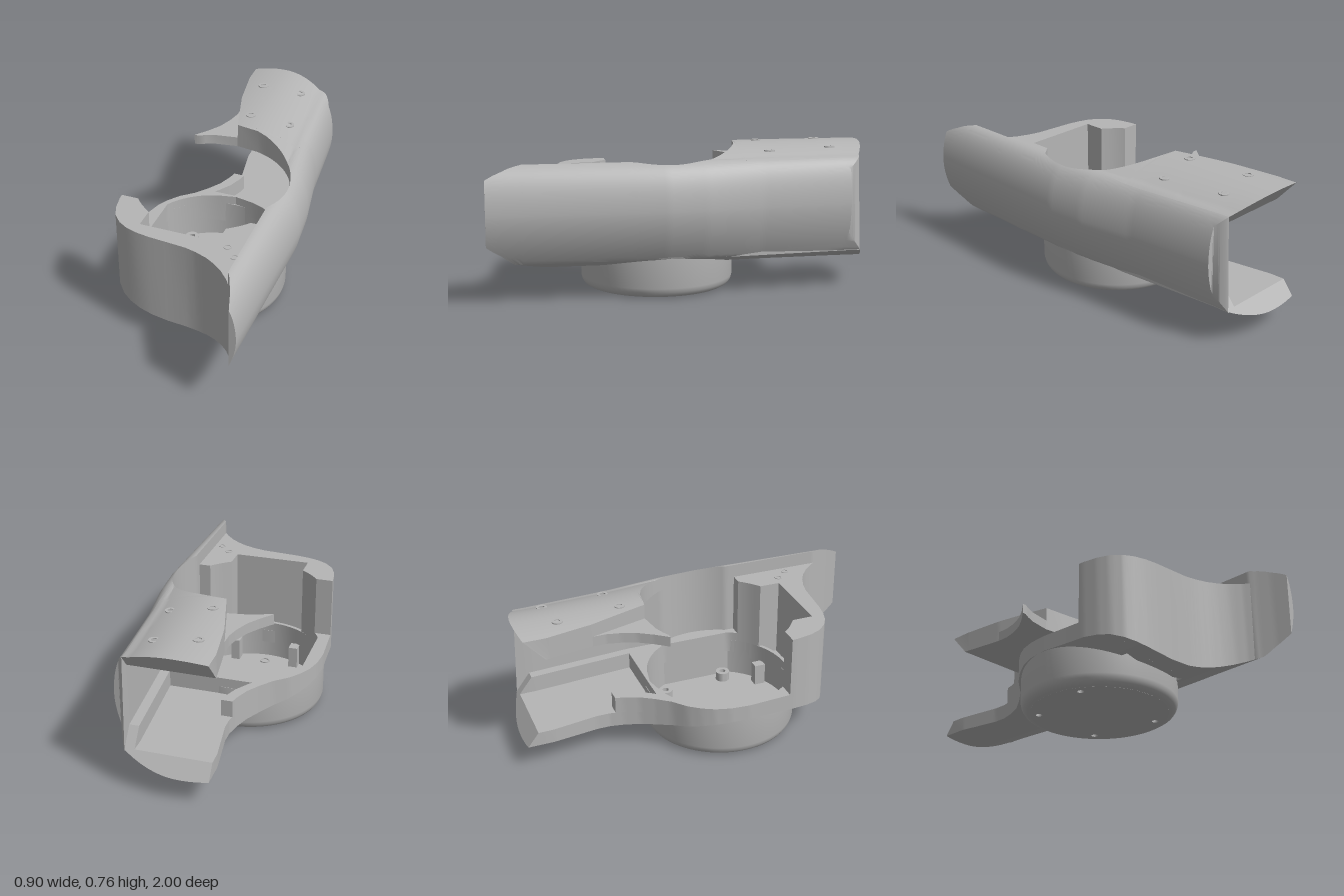
import * as THREE from 'three';
import { toCreasedNormals } from 'three/addons/utils/BufferGeometryUtils.js';

const grey = new THREE.MeshStandardMaterial({ color: 0xb5b5b5 });
grey.name = 'light grey';

// Cup centre and radii
const CX = -0.045, CZ = 0.092, POCKET = 0.385, OPENING = 0.41;

// Piecewise linear lookup
function lerpTable(t, v) {
  if (v <= t[0][0]) return t[0][1];
  for (let i = 1; i < t.length; i++) {
    const [a, p] = t[i - 1], [b, q] = t[i];
    if (v <= b) return p + (q - p) * (v - a) / (b - a);
  }
  return t[t.length - 1][1];
}

// Plan outline: left edge and widest right edge along z
const LEFT = [[-0.87, -0.17], [-0.62, -0.13], [-0.55, -0.13], [-0.48, -0.145], [-0.4, -0.175],
  [-0.33, -0.22], [-0.26, -0.275], [-0.2, -0.345], [-0.14, -0.39], [-0.08, -0.422], [0, -0.444],
  [0.1, -0.452], [0.25, -0.442], [0.36, -0.436], [0.44, -0.42], [0.5, -0.395], [0.55, -0.35],
  [0.58, -0.3], [0.6, -0.24], [0.612, -0.17], [0.62, -0.08], [0.63, 0.03], [0.645, 0.09],
  [0.67, 0.155], [0.7, 0.205], [0.74, 0.255], [0.79, 0.3], [0.84, 0.333], [0.92, 0.367], [1, 0.39]];
const RIGHT = [[-0.87, 0.34], [-0.4, 0.38], [-0.1, 0.43], [0.1, 0.447], [0.5, 0.437], [1, 0.425]];
const left = z => lerpTable(LEFT, z);
const right = z => lerpTable(RIGHT, z);

// Half width of a circle around the cup axis at z
const half = (r, z) => Math.sqrt(Math.max(0, r * r - (z - CZ) ** 2));
const pocketHalf = z => Math.min(0.333, half(POCKET, z));
const notchHalf = z => (z > 0.41 ? Math.max(0.205, pocketHalf(z)) : pocketHalf(z));

// Inner face of the side wall
const inner = z => Math.max(lerpTable([[-0.87, 0.27], [-0.3, 0.32]], z),
  CX + half(OPENING, z), z > 0.7 ? left(z) : -1);

// Barrel cross-section: lower and upper height at x
const scaled = (x, z) => (x > 0 ? Math.min(0.45, x * 0.45 / right(z)) : x);
function low(x, z) {
  const X = scaled(x, z);
  if (X < 0.36) return 0.125 + 0.52 * (X + 0.03) ** 2;
  return 0.204 + 0.256 * (1 - Math.max(0, 1 - (X - 0.36) / 0.09) ** 0.55);
}
function high(x, z) {
  const X = scaled(x, z);
  if (X < 0.32) return 0.76 - 0.6 * X * X;
  const t = Math.min(1, (X - 0.32) / 0.13);
  return 0.7 - 0.24 * (1 - Math.sqrt(1 - t ** 2.2));
}

// Rear end is cut back in the middle of its height
function rearEnd(y) {
  if (y < 0.3) return -0.87 - 0.13 * (0.3 - y) / 0.17;
  if (y > 0.64) return -0.87 - 0.125 * (y - 0.64) / 0.12;
  return -0.87;
}

// Closed solid between z0 and z1, bounded by two plan edges and two heights
function slab(z0, z1, x0, x1, y0, y1, cols = 16, ease = u => u) {
  const zs = [z0, z1];
  for (let z = Math.ceil(z0 / 0.02) * 0.02; z < z1; z += 0.02) zs.push(z);
  for (const [z] of LEFT) if (z > z0 && z < z1) zs.push(z);
  zs.sort((a, b) => a - b);
  const rows = zs.filter((z, i) => !i || z - zs[i - 1] > 1e-4);
  const pos = [], idx = [], n = 2 * (cols + 1);
  for (const z of rows) {
    const a = x0(z), b = Math.max(a, x1(z));
    for (let k = 0; k < n; k++) {
      const upper = k > cols;
      const x = a + (b - a) * ease((upper ? n - 1 - k : k) / cols);
      const y = upper ? Math.max(y1(x, z), y0(x, z)) : y0(x, z);
      pos.push(x, y, z === -0.87 ? rearEnd(y) : z);
    }
  }
  const last = (rows.length - 1) * n;
  for (let i = 0; i < last; i += n) {
    for (let k = 0; k < n; k++) {
      const a = i + k, b = i + (k + 1) % n;
      idx.push(a, b, b + n, a, b + n, a + n);
    }
  }
  for (let k = 0; k < cols; k++) {
    const p = k, q = k + 1, r = n - 2 - k, s = n - 1 - k;
    idx.push(last + p, last + q, last + r, last + p, last + r, last + s);
    idx.push(p, r, q, p, s, r);
  }
  const g = new THREE.BufferGeometry();
  g.setAttribute('position', new THREE.Float32BufferAttribute(pos, 3));
  g.setIndex(idx);
  return toCreasedNormals(g, 0.6);
}

export function createModel() {
  const model = new THREE.Group();
  model.name = 'armHousing';
  const add = (name, geometry, x = 0, y = 0, z = 0) => {
    const m = new THREE.Mesh(geometry, grey);
    m.name = name;
    m.position.set(x, y, z);
    model.add(m);
    return m;
  };
  const flat = v => () => v;
  const pocketL = z => CX - pocketHalf(z), pocketR = z => CX + pocketHalf(z);

  // Curved side wall along the whole length
  add('sideWall', slab(-0.87, 1, inner, right, low, high, 24, u => Math.sin(u * Math.PI / 2)));

  // Rear floor with its edge rim and inner ledge
  add('rearFloor', slab(-0.87, -0.3, left, inner, low, flat(0.21)));
  add('rearRim', slab(-0.52, -0.3, left, z => left(z) + 0.06, flat(0.2), flat(0.3), 4));
  add('rearLedge', slab(-0.87, -0.2, z => inner(z) - 0.05, inner, flat(0.2), flat(0.3), 2));

  // Low rim on either side of the pocket
  add('rimRight', slab(-0.31, 0.33, left, pocketL, low, flat(0.3)));
  add('rimLeft', slab(-0.31, 0.33, pocketR, inner, low, flat(0.3)));

  // Tall front wall, wrapped around the pocket and its notch
  add('frontWallRight', slab(0.33, 0.53, left, z => CX - notchHalf(z), low, flat(0.627)));
  add('frontWallLeft', slab(0.33, 0.53, z => CX + notchHalf(z), inner, low, flat(0.627)));
  add('frontWall', slab(0.53, 0.82, left, inner, low, flat(0.627), 24));
  add('notchFloor', slab(0.475, 0.53, flat(CX - 0.205), flat(CX + 0.205), low, flat(0.2)));

  // Rear roof and the thin fin beside the opening
  const diagonal = z => (z < -0.62 ? left(z) : -0.13 + 0.085 * (z + 0.62) / 0.302);
  add('roof', slab(-0.87, -0.318, diagonal, inner, flat(0.625), high, 24));
  add('roofEdge', slab(-0.318, -0.08, z => CX + half(OPENING, z), inner, flat(0.625), high));
  add('fin', slab(-0.62, -0.318, left, diagonal, flat(0.625), flat(0.68), 6));
  add('finTip', slab(-0.318, -0.262, left, z => CX - half(OPENING, z), flat(0.625), flat(0.68), 6));

  // Cup wall with a rounded lower edge
  const profile = [[0.352, 0], [0.371, 0.004], [0.389, 0.015], [0.4, 0.032], [0.405, 0.053],
    [0.405, 0.25], [POCKET, 0.25], [POCKET, 0.04], [0.352, 0.04]];
  const cup = new THREE.LatheGeometry(profile.map(p => new THREE.Vector2(...p)), 72);
  add('cupWall', toCreasedNormals(cup, 0.6), CX, 0, CZ);

  // Cup floor with four through holes
  const screws = [[-0.25, -0.14], [0.16, -0.14], [-0.32, 0.23], [0.23, 0.23]];
  const disc = new THREE.Shape().absarc(0, 0, 0.354, 0, Math.PI * 2);
  for (const [x, z] of screws) {
    disc.holes.push(new THREE.Path().absarc(x - CX, CZ - z, 0.017, 0, Math.PI * 2, true));
  }
  const floor = new THREE.ExtrudeGeometry(disc, { depth: 0.04, bevelEnabled: false, curveSegments: 48 });
  add('cupFloor', floor.rotateX(-Math.PI / 2), CX, 0, CZ);

  // Flat cheeks inside the cup
  const angle = Math.acos(0.333 / POCKET);
  for (const turn of [0, Math.PI]) {
    const cheek = new THREE.Shape().absarc(0, 0, POCKET, turn - angle, turn + angle);
    const g = new THREE.ExtrudeGeometry(cheek, { depth: 0.26, bevelEnabled: false });
    add('cupCheek', g.rotateX(-Math.PI / 2), CX, 0.04, CZ);
  }

  // Hollow rings for screw bosses and seats
  const ring = (r, hole, h) => toCreasedNormals(new THREE.LatheGeometry(
    [[hole, 0], [r, 0], [r, h], [hole, h], [hole, 0]].map(p => new THREE.Vector2(...p)), 24), 0.6);
  for (const [x, z] of screws) add('screwBoss', ring(0.038, 0.017, 0.05), x, 0.04, z);
  for (const z of [-0.22, 0.4]) add('floorSeat', ring(0.028, 0.02, 0.006), CX, 0.04, z);
  for (const [x, z] of [[-0.055, -0.775], [0.155, -0.8], [-0.013, -0.44], [0.197, -0.465]]) {
    add('roofScrewSeat', ring(0.028, 0.015, 0.006), x, high(x, z) - 0.002, z);
  }
  for (const [x, z] of [[0.22, 0.555], [0.28, 0.62]]) add('wallSeat', ring(0.02, 0.014, 0.004), x, 0.626, z);

  // Small stop blocks at the front of the pocket
  for (const s of [-1, 1]) add('stopBlock', new THREE.BoxGeometry(0.05, 0.12, 0.06), CX + s * 0.17, 0.1, 0.405);

  return model;
}
